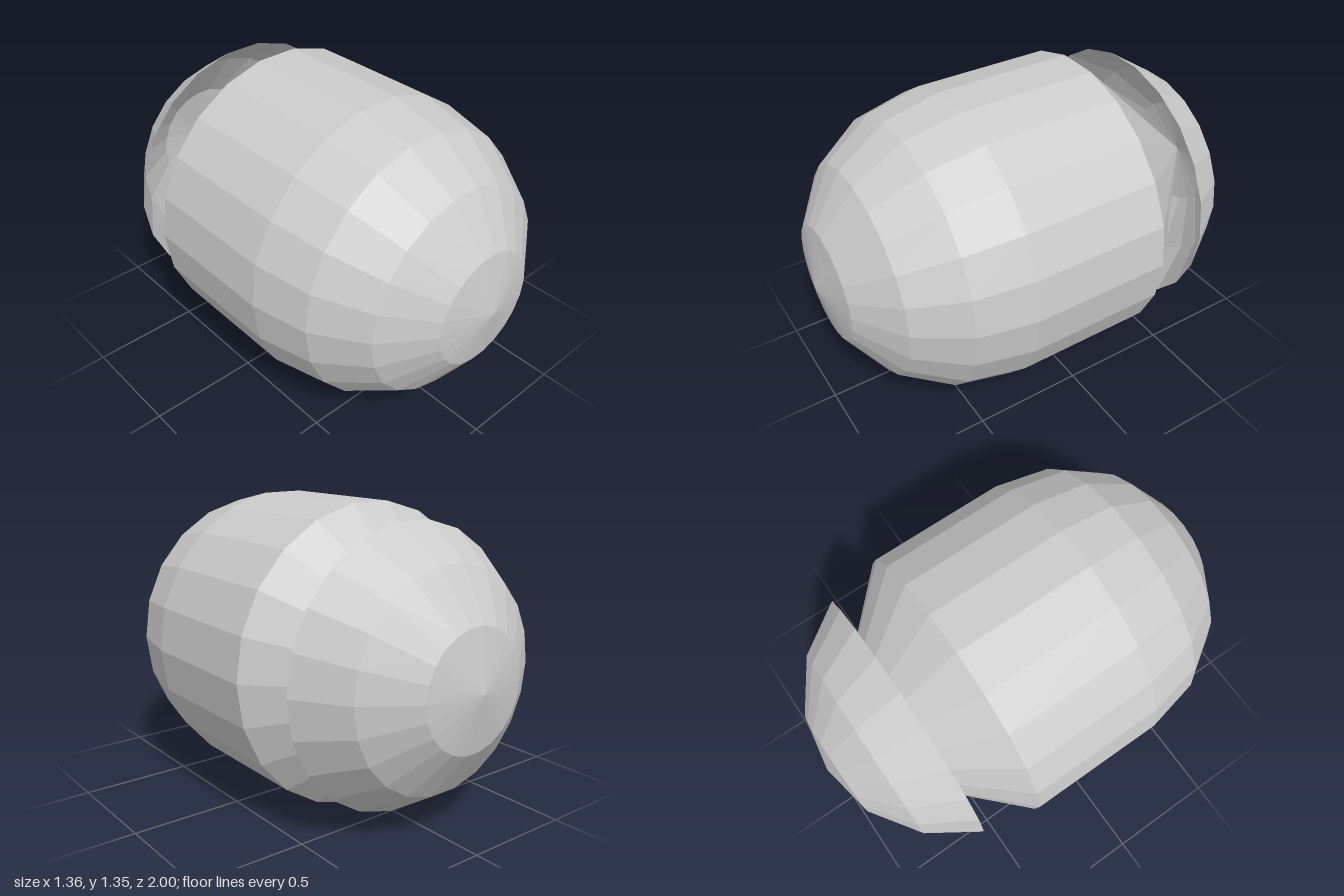
import * as THREE from 'three';

const SIDES = 22;
const RADIUS = 0.68;

// Faceted surface of revolution along z; profile points are [radius, z] from back to front
function revolve(name, profile, material) {
  const points = profile.map(([r, z]) => new THREE.Vector2(r, z));
  const geometry = new THREE.LatheGeometry(points, SIDES, Math.PI / 2);
  geometry.rotateX(Math.PI / 2);
  const mesh = new THREE.Mesh(geometry, material);
  mesh.name = name;
  mesh.position.y = RADIUS * Math.cos(Math.PI / SIDES); // rests on a flat facet
  return mesh;
}

export function createModel() {
  const group = new THREE.Group();
  group.name = 'capsule';
  const material = new THREE.MeshStandardMaterial({
    color: 0xcccccc, flatShading: true, side: THREE.DoubleSide,
  });

  // Rounded end, from the rim to the pole
  const dome = [[0.625, 0.58], [0.48, 0.8], [0.26, 0.95], [0, 1]];

  // Barrel with rounded nose; the back tapers as a cone into the cap
  group.add(revolve('body', [[0, -1], [RADIUS, -0.32], [RADIUS, 0.32], ...dome], material));

  // Open, hollow cap behind the body
  group.add(revolve('rearCap', dome.map(([r, z]) => [r, -z]).reverse(), material));

  return group;
}
